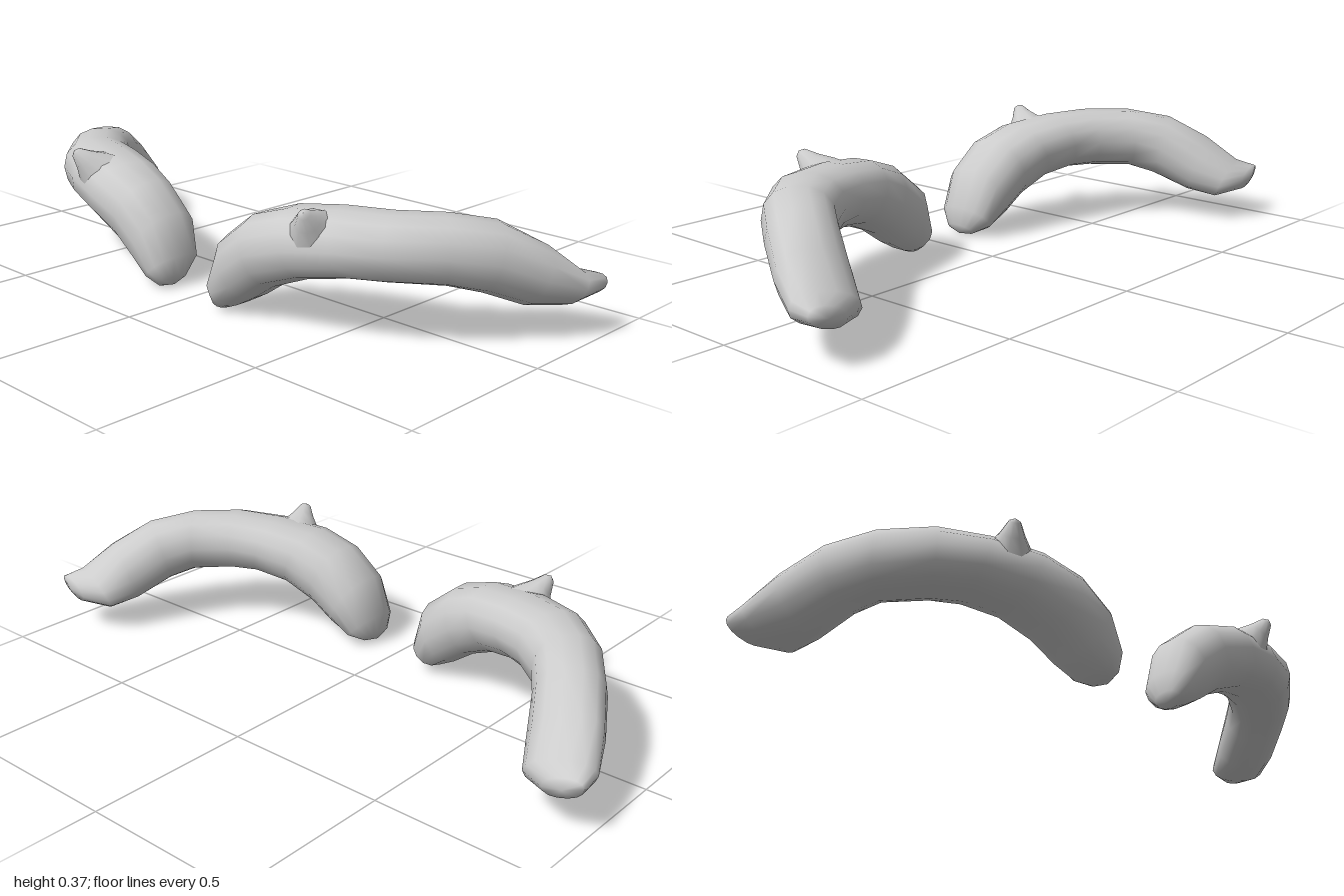
import * as THREE from 'three';

const SIDES = 14;

// Cross-sections from inner end to tail: centre, half-depth vector (front), half-height vector (up)
const SECTIONS = [
  [[0.115, 0.022, 0.240], [0, 0, 0.050], [-0.020, 0.018, 0]],
  [[0.133, 0.060, 0.228], [0, 0, 0.092], [-0.042, 0.040, 0]],
  [[0.183, 0.137, 0.220], [0, 0, 0.110], [-0.053, 0.083, 0]],
  [[0.270, 0.203, 0.215], [0, 0, 0.115], [-0.040, 0.097, 0]],
  [[0.380, 0.245, 0.200], [0.020, 0, 0.120], [-0.040, 0.092, 0]],
  [[0.505, 0.264, 0.165], [0.035, 0, 0.115], [-0.025, 0.090, 0]],
  [[0.615, 0.266, 0.120], [0.050, 0, 0.100], [0, 0.092, 0]],
  [[0.725, 0.262, 0.025], [0.065, 0, 0.077], [0, 0.094, 0]],
  [[0.792, 0.238, -0.068], [0.080, 0, 0.055], [0.015, 0.094, -0.020]],
  [[0.852, 0.180, -0.175], [0.088, 0.005, 0.045], [0.020, 0.085, -0.020]],
  [[0.895, 0.134, -0.265], [0.092, 0.015, 0.028], [0.010, 0.051, -0.020]],
  [[0.940, 0.138, -0.325], [0.056, 0.015, 0.006], [0, 0.030, -0.004]],
];

// Closed loft through the sections; side = 1 for left, -1 for right
function browGeometry(side) {
  const pos = [], index = [];
  const tri = (a, b, c) => index.push(...(side > 0 ? [a, b, c] : [a, c, b]));
  const soft = (v) => Math.sign(v) * Math.abs(v) ** 0.9; // slightly squarer than an ellipse
  for (const [c, w, h] of SECTIONS) {
    for (let j = 0; j < SIDES; j++) {
      const a = (j / SIDES) * Math.PI * 2;
      const p = c.map((v, k) => v + w[k] * soft(Math.cos(a)) + h[k] * soft(Math.sin(a)));
      pos.push(p[0] * side, p[1], p[2]);
    }
  }
  const last = SECTIONS.length - 1;
  for (let i = 0; i < last; i++) {
    for (let j = 0; j < SIDES; j++) {
      const n = (j + 1) % SIDES, a = i * SIDES, b = a + SIDES;
      tri(a + j, b + j, a + n);
      tri(a + n, b + j, b + n);
    }
  }
  // End caps, slightly domed
  const caps = [[0.108, 0.010, 0.240], [0.943, 0.137, -0.334]];
  const base = pos.length / 3;
  caps.forEach((c) => pos.push(c[0] * side, c[1], c[2]));
  for (let j = 0; j < SIDES; j++) {
    const n = (j + 1) % SIDES;
    tri(base, j, n);
    tri(base + 1, last * SIDES + n, last * SIDES + j);
  }
  const g = new THREE.BufferGeometry();
  g.setAttribute('position', new THREE.Float32BufferAttribute(pos, 3));
  g.setIndex(index);
  g.computeVertexNormals();
  return g;
}

// Small flared peak on the front of the arch
function peakGeometry() {
  const profile = [[0.085, 0], [0.062, 0.045], [0.036, 0.085], [0.017, 0.122], [0, 0.131]];
  return new THREE.LatheGeometry(profile.map(([r, y]) => new THREE.Vector2(r, y)), 10);
}

export function createModel() {
  const model = new THREE.Group();
  model.name = 'eyebrows';
  const material = new THREE.MeshStandardMaterial({ color: 0xcccccc });

  for (const side of [1, -1]) {
    const brow = new THREE.Group();
    brow.name = side > 0 ? 'leftEyebrow' : 'rightEyebrow';

    const body = new THREE.Mesh(browGeometry(side), material);
    body.name = 'browArch';

    const peak = new THREE.Mesh(peakGeometry(), material);
    peak.name = 'browPeak';
    const foot = new THREE.Vector3(0.445 * side, 0.276, 0.225);
    const tip = new THREE.Vector3(0.482 * side, 0.368, 0.313);
    peak.position.copy(foot);
    peak.quaternion.setFromUnitVectors(new THREE.Vector3(0, 1, 0), tip.sub(foot).normalize());

    brow.add(body, peak);
    model.add(brow);
  }
  return model;
}
